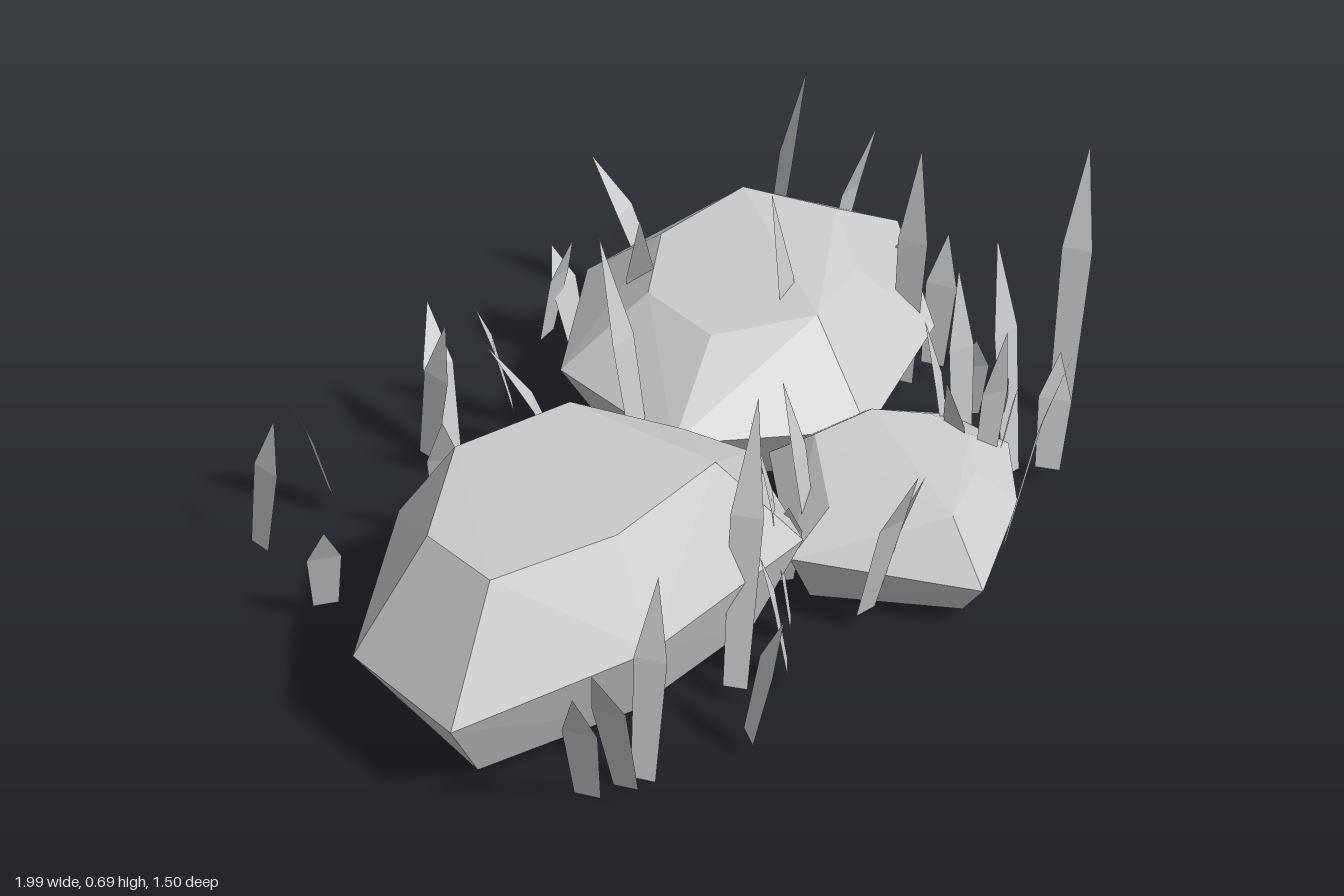
import * as THREE from 'three';
import { ConvexGeometry } from 'three/addons/geometries/ConvexGeometry.js';

const GROUND = 0.04;

// Each rock is one outline, pulled inwards about its centre for the top and underside.
// Outline corner: x, z, then the heights of rim, top and underside there
const LEFT_ROCK = {
  name: 'leftRock', centre: [-0.5, 0.13], topScale: 0.63,
  outline: [
    [-0.98, 0, 0.22, 0.46, 0.05], [-0.63, -0.235, 0.26, 0.48, 0.05], [-0.2, -0.13, 0.28, 0.48, 0],
    [0.04, 0.16, 0.25, 0.42, 0.04], [-0.13, 0.47, 0.28, 0.5, 0.05], [-0.6, 0.48, 0.28, 0.49, 0.06],
    [-1, 0.31, 0.22, 0.465, 0.025],
  ],
};
const RIGHT_ROCK = {
  name: 'rightRock', centre: [0.42, -0.17], topScale: 0.55,
  outline: [
    [0.31, -0.6, 0.22, 0.39, 0.04], [0.76, -0.55, 0.2, 0.41, 0.025], [0.95, -0.19, 0.23, 0.39, 0.05],
    [0.72, 0.12, 0.2, 0.37, 0.05], [0.31, 0.27, 0.21, 0.4, 0.05], [-0.03, 0, 0.22, 0.37, 0.05],
    [-0.01, -0.37, 0.22, 0.38, 0.05],
  ],
};
const FRONT_ROCK = {
  name: 'frontRock', centre: [0.23, 0.42], topScale: 0.64,
  outline: [
    [-0.09, 0.4, 0.16, 0.24, 0.02], [0.14, 0.745, 0.13, 0.25, 0.03], [0.41, 0.62, 0.14, 0.23, 0.025],
    [0.55, 0.48, 0.15, 0.23, 0.04], [0.53, 0.32, 0.16, 0.24, 0.04], [0.38, 0.18, 0.17, 0.26, 0.04],
    [0.14, 0.13, 0.17, 0.26, 0.03],
  ],
};

// Tall blades: root x, root z, tip x, tip z, tip height
const TALL_BLADES = [
  [-0.74, 0.54, -0.92, 0.63, 0.52], [-0.7, 0.55, -0.6, 0.5, 0.49], [-0.37, 0.5, -0.2, 0.4, 0.66],
  [-0.14, 0.45, -0.2, 0.38, 0.59], [-0.22, -0.13, -0.37, -0.18, 0.42], [-0.24, -0.5, -0.16, -0.64, 0.36],
  [0.53, -0.58, 0.48, -0.75, 0.39], [-0.13, -0.2, -0.27, -0.33, 0.45], [-0.04, -0.07, -0.05, -0.2, 0.69],
  [0.27, -0.38, 0.21, -0.33, 0.54], [0.7, -0.39, 0.79, -0.35, 0.66], [0.79, -0.28, 0.8, -0.14, 0.6],
  [0.39, 0, 0.37, -0.08, 0.65], [0.67, 0.07, 0.74, 0.04, 0.64], [0.86, 0.39, 0.99, 0.32, 0.66],
  [0.58, 0.47, 0.59, 0.38, 0.64], [0.37, 0.62, 0.42, 0.73, 0.61], [0, 0.54, -0.02, 0.68, 0.5],
  [0.04, 0.36, 0.01, 0.28, 0.52],
];

// Roots of the short blades: x, z
const SHORT_ROOTS = [
  [-0.75, -0.57], [-0.52, -0.59], [-0.78, -0.32], [-0.42, -0.32], [-0.28, -0.53], [-0.02, -0.52],
  [0.23, -0.66], [0.27, -0.6], [-0.46, 0.62], [-0.81, 0.5], [-0.25, 0.54], [0.68, 0.26],
  [0.65, 0.52], [0.77, 0.08], [0.87, -0.15], [0.07, 0.52], [-0.05, 0.34],
];

// Seeded numbers from 0 to 1
function makeRandom(seed) {
  return () => (seed = (seed * 16807) % 2147483647) / 2147483647;
}

function rockGeometry({ centre: [cx, cz], topScale, outline }) {
  const points = [];
  for (const [x, z, rim, top, under] of outline) {
    for (const [scale, y] of [[1, rim], [topScale, top], [0.8, under]]) {
      points.push(new THREE.Vector3(cx + (x - cx) * scale, y, cz + (z - cz) * scale));
    }
  }
  return new ConvexGeometry(points);
}

// A flat strip with a bend and a pointed tip, its width across the lean
function bladeGeometry(x, z, tx, tz, h, width) {
  const dx = tx - x, dz = tz - z, len = Math.hypot(dx, dz);
  const sx = (-dz / len) * width / 2, sz = (dx / len) * width / 2;
  const mx = x + dx * 0.5, mz = z + dz * 0.5, my = GROUND + (h - GROUND) * 0.62;
  const a = [x - sx * 0.75, GROUND, z - sz * 0.75], b = [x + sx * 0.75, GROUND, z + sz * 0.75];
  const c = [mx + sx, my, mz + sz], d = [mx - sx, my, mz - sz], tip = [tx, h, tz];
  const geo = new THREE.BufferGeometry();
  geo.setAttribute('position', new THREE.Float32BufferAttribute([a, b, c, a, c, d, d, c, tip].flat(), 3));
  geo.computeVertexNormals();
  return geo;
}

export function createModel() {
  const model = new THREE.Group();
  model.name = 'rocksWithGrass';
  const stone = new THREE.MeshStandardMaterial({ color: 0xcccccc, side: THREE.DoubleSide, flatShading: true });
  stone.name = 'pale grey';

  // Rocks
  for (const rockData of [LEFT_ROCK, RIGHT_ROCK, FRONT_ROCK]) {
    const rock = new THREE.Mesh(rockGeometry(rockData), stone);
    rock.name = rockData.name;
    model.add(rock);
  }

  // Grass
  const grass = new THREE.Group();
  grass.name = 'grass';
  model.add(grass);
  const addBlade = (name, ...data) => {
    const blade = new THREE.Mesh(bladeGeometry(...data), stone);
    blade.name = name;
    grass.add(blade);
  };
  for (const data of TALL_BLADES) addBlade('tallBlade', ...data, 0.07);

  // Short blades lean in scattered directions
  const random = makeRandom(71);
  for (const [x, z] of SHORT_ROOTS) {
    const angle = random() * Math.PI * 2, lean = 0.06 + random() * 0.03;
    addBlade('shortBlade', x, z, x + Math.cos(angle) * lean, z + Math.sin(angle) * lean, 0.26 + random() * 0.14, 0.075);
  }

  // Tuft beside the front rock
  for (let i = 0; i < 6; i++) {
    const angle = i * Math.PI / 3, c = Math.cos(angle), s = Math.sin(angle);
    addBlade('tuftBlade', 0.5 + c * 0.04, 0.42 + s * 0.05, 0.5 + c * 0.11, 0.42 + s * 0.13, 0.38 + (i % 3) * 0.08, 0.06);
  }
  return model;
}
